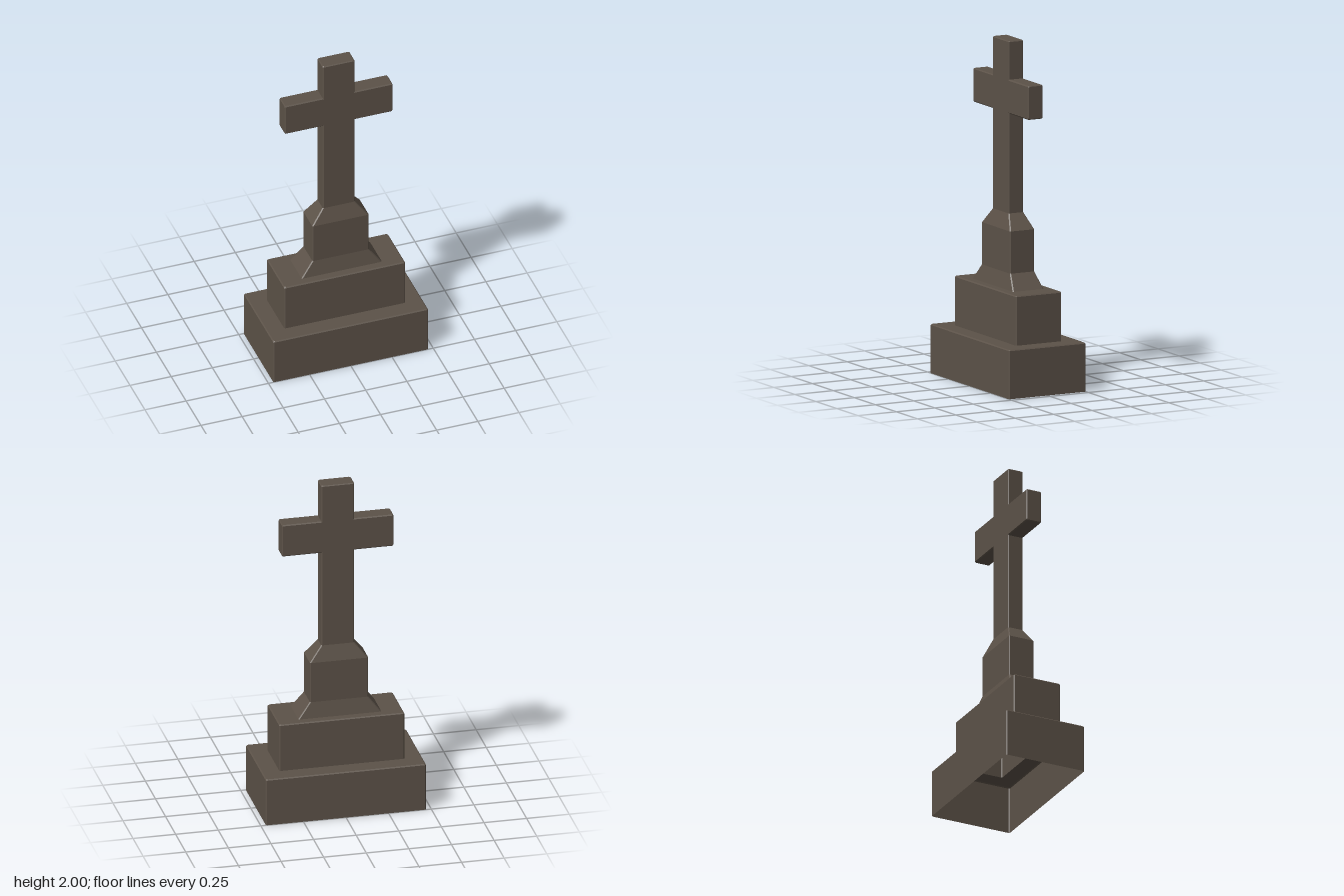
import * as THREE from 'three';

const stone = new THREE.MeshStandardMaterial({ color: 0x5c5248, side: THREE.DoubleSide, flatShading: true });
stone.name = 'weathered stone';

const CHAMFER = 0.006;

// Rectangle with slightly worn corners, at one height
function ring([y, hx, hz]) {
  const x = hx - CHAMFER, z = hz - CHAMFER;
  return [[hx, -z], [hx, z], [x, hz], [-x, hz], [-hx, z], [-hx, -z], [-x, -hz], [x, -hz]]
    .map(([px, pz]) => [px, y, pz]);
}

// Hollow shell through sections [y, half width, half depth]; open below
function loft(name, sections, capped = false) {
  const rings = sections.map(ring);
  const n = 8, pos = rings.flat(2), index = [];
  for (let k = 0; k < rings.length - 1; k++) {
    for (let i = 0; i < n; i++) {
      const a = k * n + i, b = k * n + (i + 1) % n;
      index.push(a, a + n, b, b, a + n, b + n);
    }
  }
  if (capped) {
    const centre = pos.length / 3, start = (rings.length - 1) * n;
    pos.push(0, sections.at(-1)[0], 0);
    for (let i = 0; i < n; i++) index.push(centre, start + (i + 1) % n, start + i);
  }
  const indexed = new THREE.BufferGeometry();
  indexed.setAttribute('position', new THREE.Float32BufferAttribute(pos, 3));
  indexed.setIndex(index);
  const geometry = indexed.toNonIndexed();
  geometry.computeVertexNormals();
  const mesh = new THREE.Mesh(geometry, stone);
  mesh.name = name;
  return mesh;
}

export function createModel() {
  const group = new THREE.Group();
  group.name = 'stoneCrossMonument';

  // Two stepped blocks, each ledge running in to the part above
  group.add(loft('lowerStep', [
    [0, 0.47, 0.25], [0.279, 0.47, 0.25], [0.285, 0.464, 0.244], [0.285, 0.367, 0.149],
  ]));
  group.add(loft('upperStep', [
    [0.285, 0.367, 0.149], [0.567, 0.367, 0.149], [0.573, 0.361, 0.143], [0.573, 0.243, 0.1],
  ]));

  // Sloped foot, plinth and sloped shoulder
  group.add(loft('pedestal', [
    [0.573, 0.243, 0.1], [0.665, 0.171, 0.079], [0.91, 0.171, 0.079], [1.0, 0.097, 0.048],
  ]));

  // Upright of the cross
  group.add(loft('crossUpright', [
    [1.0, 0.097, 0.048], [1.995, 0.097, 0.048], [2.0, 0.092, 0.043],
  ], true));

  // Arms: a worn bar lofted outward from the upright on each side
  for (const side of [1, -1]) {
    const arm = loft(side > 0 ? 'leftArm' : 'rightArm', [
      [0.09, 0.0985, 0.048], [0.322, 0.0985, 0.048], [0.327, 0.0935, 0.043],
    ], true);
    arm.rotation.z = -side * Math.PI / 2;
    arm.position.y = 1.6785;
    group.add(arm);
  }
  return group;
}
